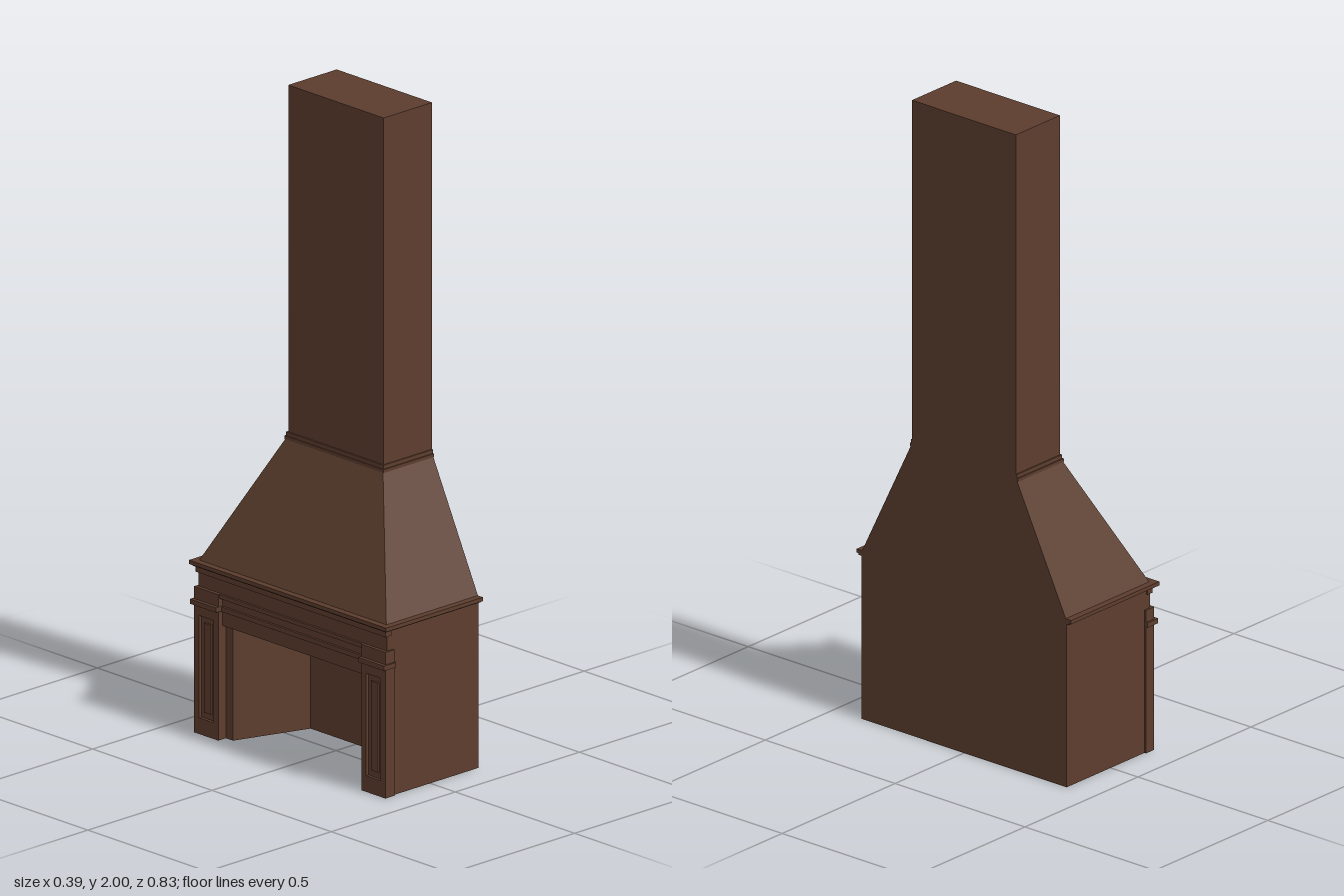
import * as THREE from 'three';

export function createModel() {
  const model = new THREE.Group();
  model.name = 'fireplace';
  const material = new THREE.MeshStandardMaterial({ color: 0x5c3d2e });
  const RIGHT = 0.195; // flat wall side

  function add(name, geometry, parent = model) {
    const mesh = new THREE.Mesh(geometry, material);
    mesh.name = name;
    parent.add(mesh);
    return mesh;
  }

  // Box given by its limits on each axis
  function block(name, x0, x1, y0, y1, z0, z1, parent) {
    const g = new THREE.BoxGeometry(x1 - x0, y1 - y0, z1 - z0);
    g.translate((x0 + x1) / 2, (y0 + y1) / 2, (z0 + z1) / 2);
    return add(name, g, parent);
  }

  // Slab running back to the wall side, symmetric in z
  const slab = (name, x0, y0, y1, halfZ, x1 = RIGHT) =>
    block(name, x0, x1, y0, y1, -halfZ, halfZ);

  // U-shaped base around the splayed firebox
  const outline = new THREE.Shape([
    [-0.155, -0.395], [RIGHT, -0.395], [RIGHT, 0.395], [-0.155, 0.395],
    [-0.155, 0.27], [0.08, 0.19], [0.08, -0.19], [-0.155, -0.27],
  ].map(([x, y]) => new THREE.Vector2(x, y)));
  const base = new THREE.ExtrudeGeometry(outline, { depth: 0.35, bevelEnabled: false });
  base.rotateX(-Math.PI / 2);
  add('fireboxWalls', base);

  // Lintel, frieze and their mouldings
  slab('lintel', -0.168, 0.35, 0.45, 0.395);
  slab('frieze', -0.175, 0.45, 0.515, 0.395);
  slab('lintelLowerMoulding', -0.175, 0.395, 0.41, 0.31, -0.16);
  slab('lintelUpperMoulding', -0.182, 0.437, 0.45, 0.31, -0.16);
  slab('friezeMoulding', -0.183, 0.495, 0.513, 0.398, -0.16);

  // Pilasters with framed panels and capitals
  for (const side of [-1, 1]) {
    const p = new THREE.Group();
    p.name = side > 0 ? 'leftPilaster' : 'rightPilaster';
    const part = (name, x0, y0, y1, a, b) =>
      block(name, x0, -0.15, y0, y1, Math.min(a * side, b * side), Math.max(a * side, b * side), p);
    part('shaftPanel', -0.176, 0, 0.45, 0.3, 0.4);
    part('plinth', -0.186, 0, 0.05, 0.3, 0.401);
    part('innerStile', -0.186, 0.05, 0.395, 0.3, 0.32);
    part('outerStile', -0.186, 0.05, 0.395, 0.38, 0.401);
    part('topRail', -0.186, 0.365, 0.395, 0.32, 0.38);
    part('raisedPanel', -0.182, 0.07, 0.345, 0.335, 0.365);
    part('capital', -0.197, 0.397, 0.412, 0.298, 0.407);
    part('corbel', -0.186, 0.412, 0.45, 0.3, 0.401);
    model.add(p);
  }

  // Mantel cornice in two steps
  slab('corniceLower', -0.188, 0.513, 0.52, 0.405);
  slab('corniceUpper', -0.195, 0.518, 0.53, 0.413);

  // Hood: a box whose top is drawn in towards the wall side
  const hood = new THREE.BoxGeometry(1, 1, 1);
  const pos = hood.attributes.position;
  for (let i = 0; i < pos.count; i++) {
    const top = pos.getY(i) > 0;
    const x = pos.getX(i) > 0 ? RIGHT : (top ? -0.003 : -0.175);
    const z = Math.sign(pos.getZ(i)) * (top ? 0.2 : 0.393);
    pos.setXYZ(i, x, top ? 0.92 : 0.528, z);
  }
  hood.computeVertexNormals();
  add('hood', hood);

  // Collar and chimney
  slab('collarLower', -0.008, 0.91, 0.92, 0.208);
  slab('collarUpper', -0.005, 0.92, 0.932, 0.204);
  slab('chimney', 0, 0.93, 2, 0.2);
  return model;
}
